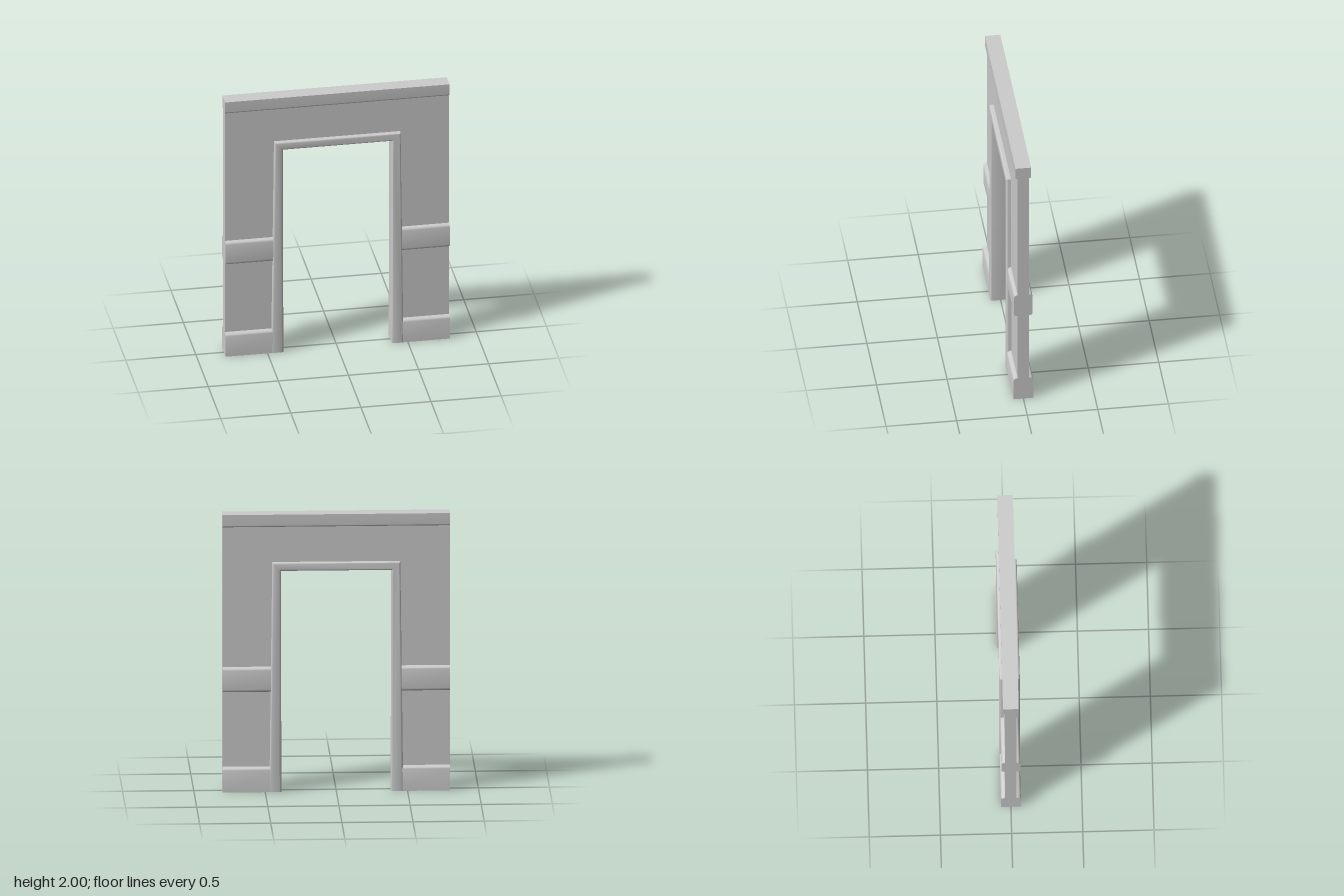
import * as THREE from 'three';
import { toCreasedNormals } from 'three/addons/utils/BufferGeometryUtils.js';

const material = new THREE.MeshStandardMaterial({ color: 0xcccccc });

function addMesh(group, geometry, name) {
  const mesh = new THREE.Mesh(toCreasedNormals(geometry, 0.6), material);
  mesh.name = name;
  group.add(mesh);
  return mesh;
}

// Upside-down U outline: straight feet, opening at the bottom
function archShape(outFoot, outTop, outY, inFoot, inTop, inY, footY) {
  return new THREE.Shape([
    [-outFoot, footY], [-inFoot, footY], [-inTop, inY], [inTop, inY],
    [inFoot, footY], [outFoot, footY], [outTop, outY], [-outTop, outY],
  ].map(([x, y]) => new THREE.Vector2(x, y)));
}

// Moulding with a symmetric section; r0 and r1 are the bottom and top edge rounding
function moulding(y0, y1, half, r0, r1, length) {
  const w = 0.042; // depth where the rounding meets the wall
  const a = r0 ? w : half, b = r1 ? w : half;
  const s = new THREE.Shape();
  s.moveTo(-a, y0);
  s.lineTo(a, y0);
  if (r0) s.quadraticCurveTo(half, y0, half, y0 + r0);
  s.lineTo(half, y1 - r1);
  if (r1) s.quadraticCurveTo(half - 0.003, y1 - 0.003, b, y1);
  else s.lineTo(b, y1);
  s.lineTo(-b, y1);
  if (r1) s.quadraticCurveTo(-half + 0.003, y1 - 0.003, -half, y1 - r1);
  s.lineTo(-half, y0 + r0);
  if (r0) s.quadraticCurveTo(-half, y0, -a, y0);
  const g = new THREE.ExtrudeGeometry(s, { depth: length, bevelEnabled: false, curveSegments: 5 });
  g.translate(0, 0, -length / 2);
  g.rotateY(-Math.PI / 2);
  return g;
}

export function createModel() {
  const group = new THREE.Group();
  group.name = 'doorwayWall';

  // Wall panel with the door opening
  const wall = new THREE.ExtrudeGeometry(
    archShape(0.8, 0.8, 1.99, 0.42, 0.42, 1.62, 0), { depth: 0.08, bevelEnabled: false });
  wall.translate(0, 0, -0.04);
  addMesh(group, wall, 'wallPanel');

  // Door frame, slightly flared to the floor, with softened edges
  const bevel = 0.012, half = 0.072;
  const frame = new THREE.ExtrudeGeometry(
    archShape(0.47, 0.45, 1.655, 0.386, 0.39, 1.595, -bevel), {
      depth: 2 * (half - bevel), bevelThickness: bevel, bevelSize: bevel,
      bevelOffset: -bevel, bevelSegments: 3,
    });
  frame.translate(0, 0, -(half - bevel));
  const p = frame.attributes.position;
  for (let i = 0; i < p.count; i++) p.setY(i, Math.max(0, p.getY(i))); // flat feet
  addMesh(group, frame, 'doorFrame');

  // Top cornice
  addMesh(group, moulding(1.91, 2, 0.055, 0.012, 0, 1.6), 'cornice');

  // Chair rails and baseboards on both sides
  for (const [side, label] of [[1, 'left'], [-1, 'right']]) {
    const rail = addMesh(group, moulding(0.72, 0.9, 0.066, 0.02, 0.022, 0.37), label + 'ChairRail');
    const base = addMesh(group, moulding(0, 0.18, 0.07, 0, 0.022, 0.37), label + 'Baseboard');
    rail.position.x = base.position.x = side * 0.615;
  }
  return group;
}
